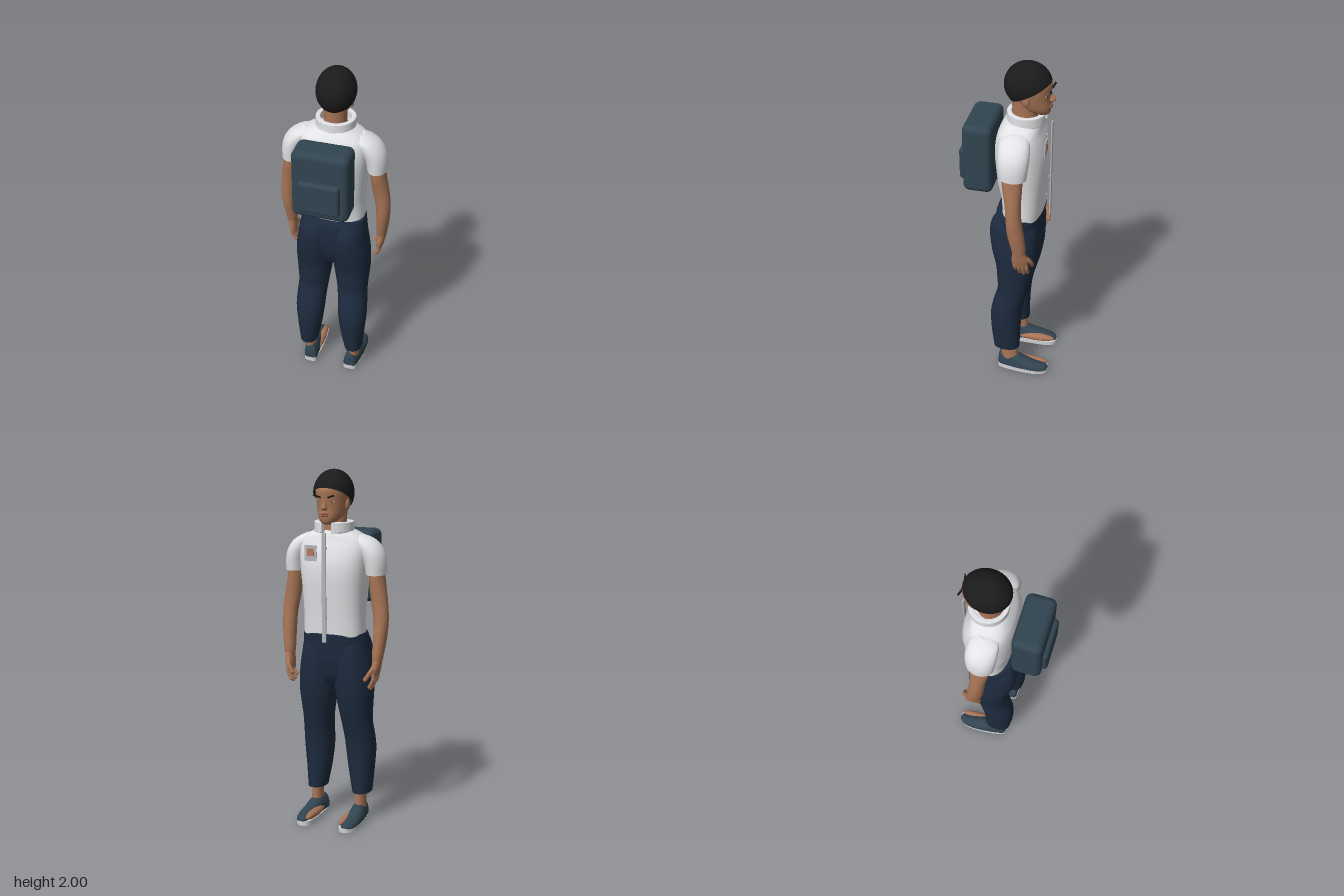
import * as THREE from 'three';
import { RoundedBoxGeometry } from 'three/addons/geometries/RoundedBoxGeometry.js';

const mat = (name, color) => Object.assign(new THREE.MeshStandardMaterial({ color }), { name });

// Smoothly interpolate rows of numbers with a Catmull-Rom rule
function smoothRows(rows, steps = 4) {
  const out = [];
  for (let i = 0; i < rows.length - 1; i++) {
    const [a, b, c, d] = [-1, 0, 1, 2].map(k => rows[Math.min(rows.length - 1, Math.max(0, i + k))]);
    for (let s = 0; s < steps; s++) {
      const t = s / steps;
      out.push(b.map((v, k) => 0.5 * (2 * v + (c[k] - a[k]) * t + (2 * a[k] - 5 * v + 4 * c[k] - d[k]) * t * t
        + (3 * v - a[k] - 3 * c[k] + d[k]) * t * t * t)));
    }
  }
  out.push(rows[rows.length - 1]);
  return out;
}

// Skin closed rings of [x, y, z] points and cap both ends
function skin(rings) {
  const n = rings[0].length, pos = rings.flat(2), idx = [];
  for (let i = 0; i < rings.length - 1; i++) for (let j = 0; j < n; j++) {
    const a = i * n + j, b = i * n + (j + 1) % n;
    idx.push(a, a + n, b, b, a + n, b + n);
  }
  for (const [ring, top] of [[rings[0], false], [rings[rings.length - 1], true]]) {
    const base = pos.length / 3;
    pos.push(...ring.flat());
    for (let j = 1; j < n - 1; j++) idx.push(base, base + (top ? j + 1 : j), base + (top ? j : j + 1));
  }
  const g = new THREE.BufferGeometry();
  g.setAttribute('position', new THREE.Float32BufferAttribute(pos, 3));
  g.setIndex(idx);
  g.computeVertexNormals();
  return g;
}

// Upright loft, rows ascending: [y, xMin, xMax, zFront, zBack]; power < 1 gives boxier rings
function loft(rows, power = 1, n = 32) {
  const p = v => Math.sign(v) * Math.abs(v) ** power;
  return skin(smoothRows(rows).map(([y, x0, x1, zf, zb]) => Array.from({ length: n }, (_, j) => {
    const a = j / n * Math.PI * 2;
    return [(x0 + x1) / 2 + (x1 - x0) / 2 * p(Math.cos(a)), y, (zf + zb) / 2 + (zb - zf) / 2 * p(Math.sin(a))];
  })));
}
const centred = rows => rows.map(([y, rx, zf, zb]) => [y, -rx, rx, zf, zb]);

export function createModel() {
  const model = new THREE.Group();
  const M = {
    hair: mat('hair black', 0x1b1b1b), skin: mat('skin', 0xa87556), shirt: mat('shirt white', 0xe2e3e6),
    pants: mat('navy trousers', 0x1d2b3e), pack: mat('slate blue', 0x314450), sole: mat('sole grey', 0xd0d0d2),
    trim: mat('trim grey', 0xb4b5b8), patch: mat('patch orange', 0xb8775a), lips: mat('lips', 0x8c574a),
  };
  M.hair.side = M.shirt.side = THREE.DoubleSide;
  const add = (name, geo, m, x = 0, y = 0, z = 0, parent = model) => {
    const mesh = new THREE.Mesh(geo, m);
    mesh.name = name;
    mesh.position.set(x, y, z);
    parent.add(mesh);
    return mesh;
  };
  const ball = (name, m, x, y, z, rx, ry, rz) =>
    add(name, new THREE.SphereGeometry(1, 20, 14).scale(rx, ry, rz), m, x, y, z);
  // Both sides from one right-handed shape
  const mirrorX = (g, s) => {
    if (s > 0) return g;
    const c = g.clone().scale(-1, 1, 1), id = c.index.array;
    for (let i = 0; i < id.length; i += 3) [id[i], id[i + 1]] = [id[i + 1], id[i]];
    return c;
  };
  const pair = (name, geo, m) => {
    for (const s of [1, -1]) add((s > 0 ? 'left ' : 'right ') + name, mirrorX(geo, s), m);
  };
  const tube = (pts, r) => new THREE.TubeGeometry(
    new THREE.CatmullRomCurve3(pts.map(p => new THREE.Vector3(...p))), 10, r, 10);
  const blob = (x, y, z, rx, ry, rz) => new THREE.SphereGeometry(1, 18, 12).scale(rx, ry, rz).translate(x, y, z);

  // Head and neck
  add('head', loft(centred([[1.712, .022, -.2, -.15], [1.725, .042, -.211, -.11], [1.755, .064, -.216, -.05],
    [1.8, .078, -.212, -.012], [1.85, .086, -.217, .012], [1.895, .089, -.219, .018], [1.93, .08, -.195, .005],
    [1.965, .05, -.15, -.04]])), M.skin);
  add('neck', loft(centred([[1.62, .075, -.15, -.005], [1.7, .064, -.145, -.01], [1.8, .066, -.14, -.005]])), M.skin);
  const hair = new THREE.SphereGeometry(1, 40, 24, 0, Math.PI * 2, 0, 1.83).rotateX(0.52).scale(.108, .126, .128);
  add('hair', hair, M.hair, 0, 1.874, -.093);
  add('nose', loft(centred([[1.787, .008, -.225, -.19], [1.797, .017, -.239, -.19], [1.808, .014, -.239, -.19],
    [1.83, .008, -.224, -.19], [1.85, .006, -.217, -.19]]), 1, 14), M.skin);
  ball('upper lip', M.lips, 0, 1.768, -.213, .024, .006, .011);
  ball('lower lip', M.lips, 0, 1.758, -.213, .02, .006, .01);
  pair('ear', blob(.083, 1.815, -.1, .012, .032, .02), M.skin);
  pair('eye', blob(.036, 1.835, -.194, .014, .007, .008), M.sole);
  pair('iris', blob(.036, 1.835, -.2, .006, .006, .005), M.hair);
  const brow = new THREE.BoxGeometry(.042, .009, .008).rotateZ(.3).rotateY(.25).translate(.04, 1.862, -.221);
  pair('eyebrow', brow, M.hair);

  // Shirt
  add('shirt body', loft(centred([[1.1, .174, -.19, .035], [1.2, .172, -.198, .04], [1.3, .177, -.208, .06],
    [1.42, .187, -.218, .072], [1.5, .195, -.215, .075], [1.57, .199, -.198, .067], [1.62, .188, -.178, .053],
    [1.65, .155, -.168, .035], [1.675, .105, -.155, .015]]), .78, 48), M.shirt);
  pair('sleeve', loft([[1.44, .186, .295, -.14, .008], [1.5, .175, .295, -.147, .015], [1.555, .15, .284, -.15, .02],
    [1.6, .12, .257, -.145, .02], [1.63, .11, .218, -.13, .01], [1.652, .1, .17, -.1, -.03]]), M.shirt);
  const arc = new THREE.Shape();
  const from = -Math.PI / 2 + .3, to = Math.PI * 1.5 - .3;
  arc.absellipse(0, 0, .105, .102, from, to, false);
  arc.absellipse(0, 0, .088, .085, to, from, true);
  const collar = new THREE.ExtrudeGeometry(arc, { depth: .05, bevelSize: .004, bevelThickness: .004, bevelSegments: 2, curveSegments: 36 });
  add('collar', collar.rotateX(Math.PI / 2).scale(1, 1, 1), M.shirt, 0, 1.718, -.088);
  for (const y of [1.585, 1.45, 1.32, 1.2])
    ball('button', M.trim, 0, y, -.2 - (y < 1.5 && y > 1.25 ? .012 : 0), .007, .007, .005);
  add('front strip', new RoundedBoxGeometry(.025, .6, .009, 2, .003), M.trim, 0, 1.37, -.224);
  add('badge frame', new THREE.BoxGeometry(.07, .085, .006), M.trim, .085, 1.555, -.21);
  add('badge patch', new THREE.BoxGeometry(.04, .04, .004), M.patch, .085, 1.56, -.214);

  // Arms and hands
  pair('arm', loft([[.965, .24, .292, -.142, -.075], [1.0, .236, .299, -.145, -.066], [1.1, .238, .312, -.136, -.045],
    [1.2, .233, .317, -.122, -.037], [1.3, .215, .308, -.117, -.028], [1.4, .203, .291, -.12, -.01],
    [1.5, .2, .28, -.12, -.01]]), M.skin);
  pair('palm', loft([[.885, .238, .274, -.155, -.07], [.92, .238, .283, -.16, -.066], [.955, .24, .29, -.15, -.07],
    [.985, .24, .294, -.142, -.072]]), M.skin);
  for (let i = 0; i < 4; i++) {
    const z = -.146 + i * .022, tip = [.828, .818, .824, .842][i];
    pair('finger ' + (i + 1), tube([[.258, .91, z], [.258, .87, z - .004], [.238, tip, z - .006]], .0105), M.skin);
    pair('fingertip ' + (i + 1), blob(.238, tip, z - .006, .0105, .0105, .0105), M.skin);
  }
  pair('thumb', tube([[.262, .95, -.135], [.248, .915, -.165], [.222, .873, -.174]], .012), M.skin);
  pair('thumb tip', blob(.222, .873, -.174, .012, .012, .012), M.skin);

  // Trousers
  add('trouser seat', loft(centred([[.8, .12, -.12, .02], [.86, .18, -.16, .05], [.94, .203, -.178, .072],
    [1.0, .196, -.184, .076], [1.06, .188, -.19, .076], [1.1, .183, -.194, .068], [1.112, .179, -.192, .06]]), .85, 44), M.pants);
  pair('trouser leg', loft([[.17, .087, .192, -.085, .068], [.3, .062, .203, -.088, .083], [.42, .046, .213, -.095, .086],
    [.5, .04, .212, -.106, .073], [.6, .03, .206, -.13, .047], [.68, .018, .21, -.151, .05], [.78, .003, .217, -.17, .057],
    [.88, -.003, .214, -.178, .081], [.98, .002, .199, -.18, .093], [1.05, .015, .186, -.17, .086], [1.1, .04, .16, -.14, .06]], .92), M.pants);

  // Ankles and feet
  pair('ankle', loft([[.04, .1, .17, -.085, .03], [.11, .106, .166, -.075, .024], [.2, .105, .167, -.07, .025]]), M.skin);
  pair('bare inner foot', blob(.103, .042, -.13, .025, .024, .122), M.skin);

  // Shoes: rows from heel to toe [z, centre x, half width, height]
  const shoeRows = smoothRows([[.042, .125, .022, .08], [.03, .125, .038, .108], [-.02, .13, .044, .112], [-.07, .135, .046, .105],
    [-.12, .139, .046, .082], [-.18, .141, .044, .064], [-.23, .139, .035, .052], [-.252, .135, .022, .042], [-.26, .133, .008, .034]]);
  pair('shoe upper', skin(shoeRows.map(([z, cx, w, h]) => Array.from({ length: 24 }, (_, j) => {
    const a = j / 24 * Math.PI * 2, s = Math.sin(a);
    return [cx + w * Math.cos(a), .024 + (s > 0 ? (h - .024) * s ** .8 : .008 * s), z];
  }))), M.pack);
  const soleRows = smoothRows([[.045, .125, .012], [.035, .125, .036], [-.02, .129, .047], [-.1, .132, .052], [-.18, .133, .052],
    [-.23, .13, .042], [-.255, .129, .024], [-.262, .129, .008]]);
  const outline = new THREE.Shape([...soleRows.map(([z, cx, w]) => new THREE.Vector2(cx + w, -z)),
    ...soleRows.slice().reverse().map(([z, cx, w]) => new THREE.Vector2(cx - w, -z))]);
  for (const s of [1, -1]) {
    const shape = new THREE.Shape(outline.getPoints().map(p => new THREE.Vector2(p.x * s, p.y)));
    add((s > 0 ? 'left' : 'right') + ' sole',
      new THREE.ExtrudeGeometry(shape, { depth: .026, bevelEnabled: false }).rotateX(-Math.PI / 2), M.sole);
  }

  // Backpack
  add('backpack', new RoundedBoxGeometry(.314, .405, .165, 5, .036), M.pack, 0, 1.457, .153);
  add('backpack pocket', new RoundedBoxGeometry(.232, .19, .06, 4, .02), M.pack, 0, 1.4, .232);
  return model;
}
